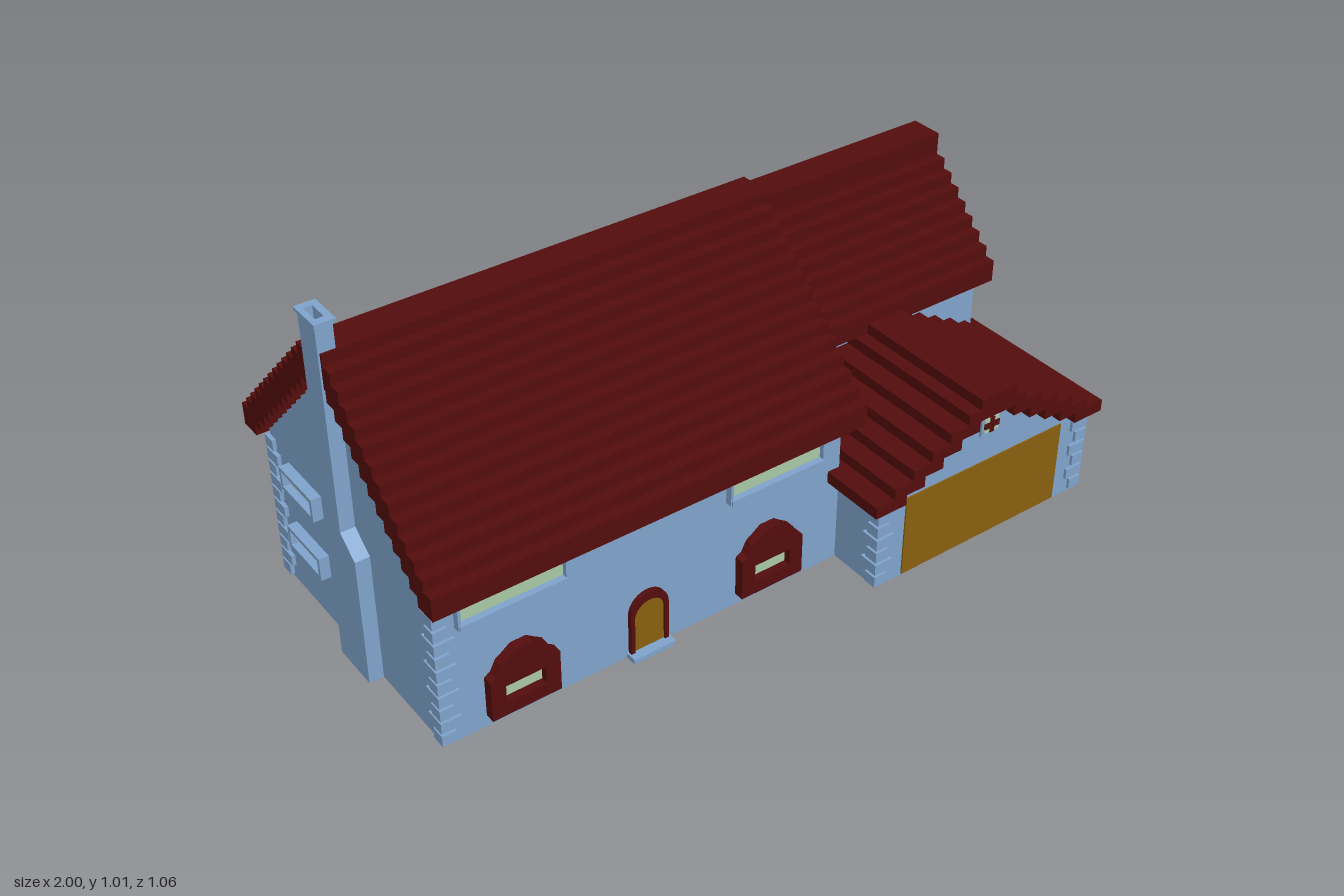
import * as THREE from 'three';

const mat = (name, color) => {
  const m = new THREE.MeshStandardMaterial({ color });
  m.name = name;
  return m;
};

export function createModel() {
  const house = new THREE.Group();
  house.name = 'house';
  const wall = mat('blue wall', 0x82a6cf);
  const roof = mat('dark red roof', 0x560d0d);
  const wood = mat('amber door', 0x8b6110);
  const glass = mat('pale green glass', 0xabcca8);

  const add = (name, geo, m, parent = house) => {
    const mesh = new THREE.Mesh(geo, m);
    mesh.name = name;
    parent.add(mesh);
    return mesh;
  };
  // Box given by its lower and upper corners
  const box = (name, m, x0, x1, y0, y1, z0, z1, parent = house) =>
    add(name, new THREE.BoxGeometry(x1 - x0, y1 - y0, z1 - z0)
      .translate((x0 + x1) / 2, (y0 + y1) / 2, (z0 + z1) / 2), m, parent);
  const poly = pts => new THREE.Shape(pts.map(p => new THREE.Vector2(p[0], p[1])));
  const rectHole = (shape, x0, x1, y0, y1) => {
    shape.holes.push(new THREE.Path([[x0, y0], [x0, y1], [x1, y1], [x1, y0]].map(p => new THREE.Vector2(...p))));
    return shape;
  };
  const extrude = (shape, depth) => new THREE.ExtrudeGeometry(shape, { depth, bevelEnabled: false, curveSegments: 10 });
  // Profile listed as (z, y), extruded along x
  const alongX = (pts, x0, x1) =>
    extrude(poly(pts.map(([z, y]) => [-z, y])), x1 - x0).rotateY(Math.PI / 2).translate(x0, 0, 0);
  const group = name => {
    const g = new THREE.Group();
    g.name = name;
    house.add(g);
    return g;
  };

  // Walls
  const mainZ = -0.064, wingZ = -0.222, gx = 0.5975;
  add('mainWalls', alongX([[-0.464, 0], [0.336, 0], [0.336, 0.516], [mainZ, 0.916], [-0.464, 0.516]], -0.955, 0.235), wall);
  add('wingWalls', alongX([[-0.464, 0], [0.05, 0], [0.05, 0.485], [wingZ, 0.757], [-0.464, 0.515]], 0.235, 0.96), wall);
  add('garageWalls', extrude(poly([[0.235, 0], [0.96, 0], [0.96, 0.272], [gx, 0.461], [0.235, 0.272]]), 0.47).translate(0, 0, 0.03), wall);

  // Stepped roofs: overlapping courses of boards down both slopes
  const s = 0.0321;
  function steppedRoof(name, cz, top, first, count, x0, x1) {
    const g = group(name);
    for (let k = 0; k < count; k++) {
      const out = (first + k) * s, y = top - k * s;
      for (const side of [-1, 1]) {
        const a = cz + side * out, b = cz + side * (out - 2 * s);
        box('roofBoard', roof, x0, x1, y - 2 * s, y, Math.min(a, b), Math.max(a, b), g);
      }
    }
  }
  steppedRoof('mainRoof', mainZ, 0.932, 1.5, 14, -0.99, 0.26);
  steppedRoof('wingRoof', wingZ, 0.805, 0.5, 10, 0.2, 0.995);
  const garageRoof = group('garageRoof');
  for (let k = 0; k < 7; k++) {
    const out = 0.04 + 0.06 * k, y = 0.482 - 0.0315 * k;
    for (const side of [-1, 1]) {
      const a = gx + side * out, b = gx + side * (out - 0.1);
      box('garageRoofBoard', roof, Math.min(a, b), Math.max(a, b), y - 0.034, y, 0.018, 0.527, garageRoof);
    }
  }

  // Corner stones: alternating blocks wrapped around each outside corner
  const quoins = group('cornerStones');
  function cornerStones(x, z, dx, dz, count) {
    for (let i = 0; i < count; i++) {
      const lx = i % 2 ? 0.057 : 0.04, lz = i % 2 ? 0.057 : 0.04;
      const xo = x + dx * 0.011, zo = z + dz * 0.008, xi = xo - dx * lx, zi = zo - dz * lz;
      box('cornerStone', wall, Math.min(xo, xi), Math.max(xo, xi), 0.01 + i * 0.04, 0.042 + i * 0.04,
        Math.min(zo, zi), Math.max(zo, zi), quoins);
    }
  }
  cornerStones(-0.955, 0.336, -1, 1, 11);
  cornerStones(-0.955, -0.464, -1, -1, 11);
  cornerStones(0.96, -0.464, 1, -1, 11);
  cornerStones(0.96, 0.5, 1, 1, 6);
  cornerStones(0.235, 0.5, -1, 1, 6);

  // Chimney with a sloped shoulder at its base and a hollow cap
  box('chimneyShaft', wall, -0.995, -0.95, 0, 0.95, -0.102, -0.022);
  add('chimneyShoulder', alongX([[-0.06, 0], [0.04, 0], [0.04, 0.38], [-0.022, 0.43], [-0.06, 0.43]], -0.995, -0.95), wall);
  const ring = (name, x0, x1, z0, z1, y0, y1) =>
    add(name, extrude(rectHole(poly([[x0, -z1], [x1, -z1], [x1, -z0], [x0, -z0]]), -0.985, -0.963, 0.035, 0.09), y1 - y0)
      .rotateX(-Math.PI / 2).translate(0, y0, 0), wall);
  ring('chimneyTop', -0.995, -0.95, -0.102, -0.022, 0.95, 1.005);
  ring('chimneyCap', -1, -0.945, -0.111, -0.013, 1.005, 1.014);

  // Upper front windows under the eaves
  for (const x of [-0.755, 0.02]) {
    const g = group('upperWindow');
    box('upperGlass', glass, x - 0.145, x + 0.145, 0.36, 0.46, 0.336, 0.342, g);
    box('upperSill', wall, x - 0.147, x + 0.147, 0.344, 0.36, 0.336, 0.36, g);
    for (const side of [-1, 1])
      box('upperJamb', wall, x + side * 0.146 - 0.004, x + side * 0.146 + 0.004, 0.344, 0.46, 0.336, 0.356, g);
  }

  // Lower front windows in arched red surrounds
  const half = [[0.097, 0.035], [0.097, 0.155], [0.08, 0.165], [0.065, 0.195], [0.045, 0.208], [0.022, 0.225]];
  const outline = [...half, ...half.map(([x, y]) => [-x, y]).reverse()];
  for (const x of [-0.742, 0]) {
    const g = group('lowerWindow');
    add('lowerSurround', extrude(rectHole(poly(outline), -0.056, 0.056, 0.075, 0.126), 0.03).translate(x, 0, 0.335), roof, g);
    box('lowerGlass', glass, x - 0.058, x + 0.058, 0.073, 0.128, 0.336, 0.344, g);
  }

  // Front door: arched leaf, red surround and step
  const arch = (w, y0, spring) => {
    const p = new THREE.Shape();
    p.moveTo(-w, y0);
    p.lineTo(w, y0);
    p.lineTo(w, spring);
    p.absarc(0, spring, w, 0, Math.PI, false);
    p.closePath();
    return p;
  };
  const surround = arch(0.057, 0.01, 0.133);
  surround.holes.push(new THREE.Path(arch(0.045, 0.012, 0.12).getPoints(10)));
  add('doorSurround', extrude(surround, 0.014).translate(-0.372, 0, 0.335), roof);
  add('frontDoor', extrude(arch(0.047, 0.01, 0.12), 0.008).translate(-0.372, 0, 0.335), wood);
  box('doorStep', wall, -0.435, -0.309, 0, 0.014, 0.33, 0.37);

  // Garage door and the small window above it
  box('garageDoor', wood, 0.322, 0.872, 0.005, 0.253, 0.497, 0.504);
  const attic = group('atticWindow');
  box('atticFrame', wall, 0.564, 0.63, 0.343, 0.405, 0.498, 0.508, attic);
  box('atticGlass', glass, 0.572, 0.622, 0.352, 0.397, 0.506, 0.51, attic);
  box('atticBarUpright', roof, 0.59, 0.604, 0.352, 0.397, 0.507, 0.513, attic);
  box('atticBarLevel', roof, 0.572, 0.622, 0.366, 0.383, 0.507, 0.513, attic);

  // Two framed windows on the chimney side
  for (const y of [0.155, 0.34]) {
    const g = group('sideWindow');
    const frame = rectHole(poly([[-0.085, 0], [0.085, 0], [0.085, 0.068], [-0.085, 0.068]]), -0.074, 0.074, 0.012, 0.058);
    add('sideFrame', extrude(frame, 0.028).rotateY(-Math.PI / 2).translate(-0.955, y, -0.285), wall, g);
    box('sideGlass', glass, -0.962, -0.954, y + 0.01, y + 0.06, -0.362, -0.208, g);
  }

  return house;
}
